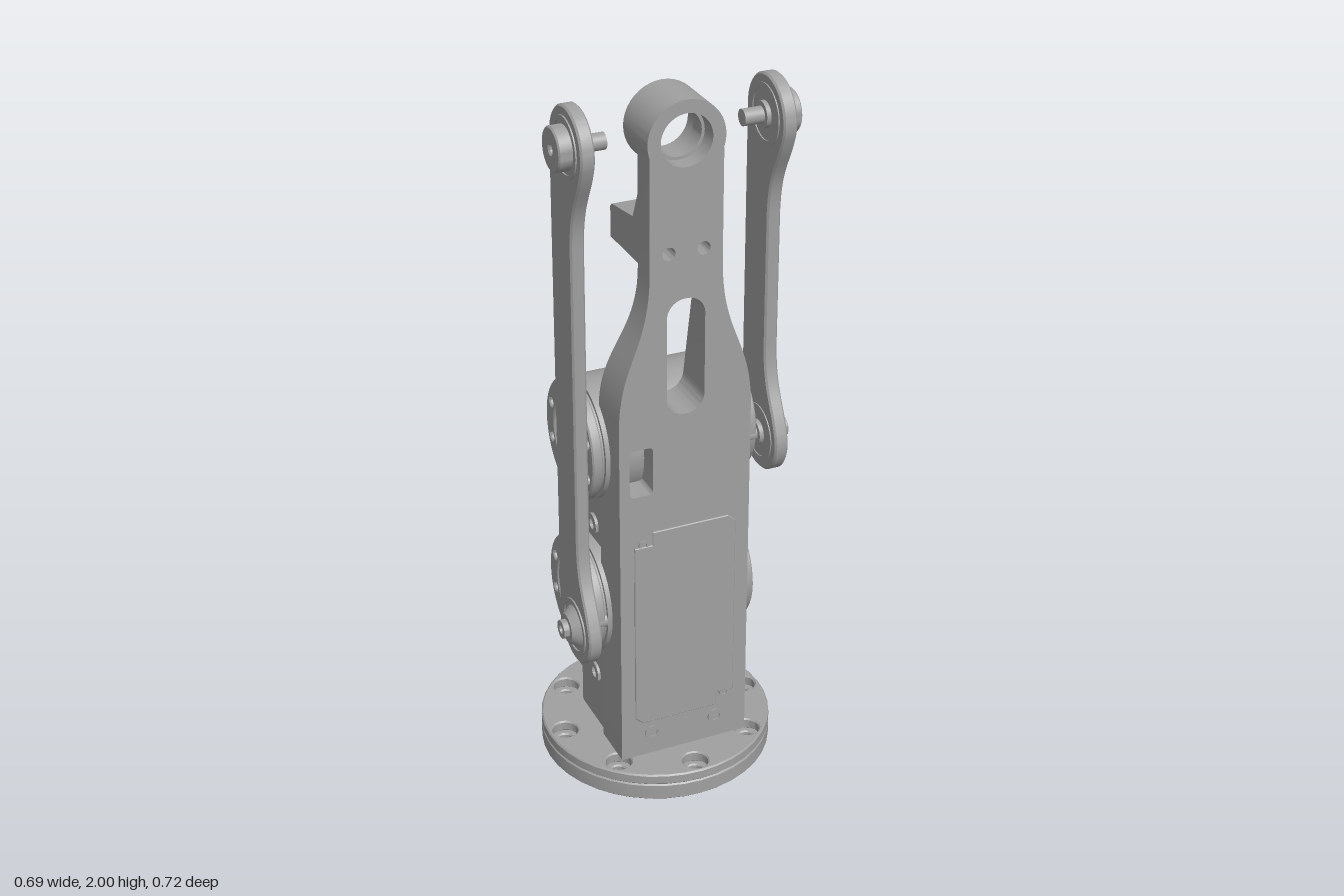
import * as THREE from 'three';
import { toCreasedNormals } from 'three/addons/utils/BufferGeometryUtils.js';

const grey = new THREE.MeshStandardMaterial({ color: 0xa0a0a0 });
grey.name = 'satin grey';

export function createModel() {
  const model = new THREE.Group();
  model.name = 'legAssembly';
  // whole mechanism is turned on its base; inside, x is the motor axis and +z the front plate
  const leg = new THREE.Group();
  leg.name = 'leg';
  leg.position.set(-0.025, 0, 0.035);
  leg.rotation.y = 0.366;
  model.add(leg);

  const add = (name, geo, x = 0, y = 0, z = 0, parent = leg) => {
    const m = new THREE.Mesh(geo, grey);
    m.name = name;
    m.position.set(x, y, z);
    parent.add(m);
    return m;
  };
  const hole = (x, y, r) => new THREE.Path().absarc(x, y, r, 0, Math.PI * 2, true);
  const disc = (r, holes = []) => {
    const s = new THREE.Shape().absarc(0, 0, r, 0, Math.PI * 2);
    s.holes = holes;
    return s;
  };
  const rounded = (w, h, r, P = THREE.Shape, cx = 0, cy = 0) => {
    const p = new P(), x = w / 2 - r, y = h / 2 - r;
    p.absarc(cx + x, cy + y, r, 0, Math.PI / 2);
    p.absarc(cx - x, cy + y, r, Math.PI / 2, Math.PI);
    p.absarc(cx - x, cy - y, r, Math.PI, Math.PI * 1.5);
    p.absarc(cx + x, cy - y, r, Math.PI * 1.5, Math.PI * 2);
    p.closePath();
    return p;
  };
  // extrusion filling depth 0..d, bevel included and kept inside the outline
  const extrude = (shape, d, bevel = 0) => {
    const g = new THREE.ExtrudeGeometry(shape, {
      depth: d - 2 * bevel, curveSegments: 20, bevelEnabled: bevel > 0,
      bevelSize: bevel, bevelThickness: bevel, bevelOffset: -bevel, bevelSegments: 1,
    });
    g.translate(0, 0, bevel);
    return toCreasedNormals(g, 0.5);
  };
  // extrusion along x from x0 to x1; shape x points to the back
  const across = (name, shape, x0, x1, y, z, bevel = 0) =>
    add(name, extrude(shape, x1 - x0, bevel).rotateY(Math.PI / 2), x0, y, z);
  const box = (name, w, x0, y0, y1, z0, z1) =>
    add(name, new THREE.BoxGeometry(w, y1 - y0, z1 - z0), x0, (y0 + y1) / 2, (z0 + z1) / 2);
  const cylX = (name, r0, r1, x0, x1, y, z) =>
    add(name, new THREE.CylinderGeometry(r1, r0, x1 - x0, 40).rotateZ(-Math.PI / 2), (x0 + x1) / 2, y, z);

  // base flange: through holes below, counterbores above
  const ringHoles = (r) => Array.from({ length: 8 }, (_, i) =>
    hole(0.277 * Math.cos(i * Math.PI / 4), 0.277 * Math.sin(i * Math.PI / 4), r));
  [[0, 0.05, 0.022], [0.05, 0.032, 0.036]].forEach(([y, h, r], i) =>
    add(i ? 'flangeTop' : 'flangeBottom',
      extrude(disc(0.325, ringHoles(r)), h, 0.004).rotateX(-Math.PI / 2), 0, y, 0));

  // base column with two cap screws at the back
  box('baseColumn', 0.35, 0, 0.08, 0.24, -0.115, 0.1);
  for (const x of [-0.075, 0.075]) {
    add('columnWasher', extrude(disc(0.04, [hole(0, 0, 0.028)]), 0.008), x, 0.15, -0.122);
    add('columnScrew', extrude(disc(0.024, [hole(0, 0, 0.011)]), 0.012), x, 0.15, -0.126);
  }

  // front plate outline: wide body, tapered shoulders, round head
  const plate = new THREE.Shape();
  plate.moveTo(-0.187, 0.085);
  plate.lineTo(0.187, 0.085);
  plate.lineTo(0.187, 1.12);
  plate.bezierCurveTo(0.187, 1.32, 0.103, 1.34, 0.1, 1.55);
  plate.lineTo(0.1, 1.86);
  plate.absarc(0, 1.895, 0.105, -0.33, Math.PI + 0.33);
  plate.lineTo(-0.1, 1.55);
  plate.bezierCurveTo(-0.103, 1.34, -0.187, 1.32, -0.187, 1.12);
  plate.closePath();
  plate.holes = [
    hole(0, 1.895, 0.07),
    rounded(0.106, 0.33, 0.05, THREE.Path, 0, 1.305),
    rounded(0.066, 0.14, 0.012, THREE.Path, -0.125, 0.99),
    hole(-0.048, 1.6, 0.018), hole(0.048, 1.6, 0.018),
  ];
  const plateGeo = new THREE.ExtrudeGeometry(plate, { depth: 0.134, curveSegments: 20, bevelEnabled: false });
  // thin the neck from behind
  const p = plateGeo.attributes.position;
  for (let i = 0; i < p.count; i++) {
    if (p.getZ(i) < 0.01) p.setZ(i, 0.06 * THREE.MathUtils.smoothstep(p.getY(i), 1.15, 1.52));
  }
  plateGeo.computeVertexNormals();
  add('frontPlate', toCreasedNormals(plateGeo, 0.5), 0, 0, 0.066);

  // bearing head
  add('headTube', extrude(disc(0.105, [hole(0, 0, 0.07)]), 0.15, 0.004), 0, 1.895, 0.046);
  add('headStep', extrude(disc(0.073, [hole(0, 0, 0.062)]), 0.05), 0, 1.895, 0.1);

  // access panel with notched corners and screws
  const panel = new THREE.Shape([
    [-0.147, -0.285], [-0.125, -0.305], [0.095, -0.305], [0.095, -0.265], [0.147, -0.265],
    [0.147, 0.285], [0.125, 0.305], [-0.095, 0.305], [-0.095, 0.265], [-0.147, 0.265],
  ].map(([x, y]) => new THREE.Vector2(x, y)));
  add('accessPanel', extrude(panel, 0.006, 0.002), 0, 0.5, 0.199);
  for (const [x, y, r] of [[-0.12, 0.77, 0.014], [0.12, 0.23, 0.014], [-0.095, 0.155, 0.022], [0.095, 0.155, 0.022]])
    add('plateScrew', extrude(disc(r, [hole(0, 0, r * 0.6)]), 0.005), x, y, 0.199);

  // bracket behind the neck
  const bracket = new THREE.Shape([
    [-0.13, 1.77], [-0.13, 1.55], [0.06, 1.55], [0.06, 1.635], [0.05, 1.645], [-0.085, 1.665],
  ].map(([x, y]) => new THREE.Vector2(x, y)));
  across('neckBracket', bracket, -0.096, 0.096, 0, 0);
  for (const x of [-0.05, 0.05])
    add('bracketHoleRim', extrude(disc(0.022, [hole(0, 0, 0.015)]), 0.004), x, 1.595, -0.063);

  // two motors; hornSide is the driven end
  const MZ = -0.025;
  const circleHoles = (n, R, r) => Array.from({ length: n }, (_, i) =>
    hole(R * Math.cos((i + 0.5) * 2 * Math.PI / n), R * Math.sin((i + 0.5) * 2 * Math.PI / n), r));
  const motor = (y, hornSide) => {
    cylX('motorBody', 0.168, 0.168, -0.2, 0.2, y, MZ);
    cylX('motorCore', 0.158, 0.158, -0.222, 0.222, y, MZ);
    for (const s of [-1, 1]) {
      const span = (a, b) => (s > 0 ? [a, b] : [-b, -a]);
      across('motorCap', disc(0.166, [hole(0, 0, 0.11), ...circleHoles(8, 0.137, 0.013)]),
        ...span(0.206, 0.236), y, MZ, 0.004);
      if (s === hornSide)
        across('motorHorn', disc(0.103, [hole(0, 0, 0.042), ...circleHoles(8, 0.073, 0.014)]), ...span(0.21, 0.235), y, MZ);
      else
        cylX('motorCover', 0.1, 0.1, ...span(0.21, 0.231), y, MZ);
      // screws on the side of the mount
      for (const z of [0.022, -0.083])
        across('mountScrew', disc(0.03, [hole(0, 0, 0.015)]), ...span(0.18, 0.195), y - 0.245, z);
      across('mountPin', disc(0.011), ...span(0.18, 0.191), y - 0.24, -0.03);
    }
    // mount below the motor, with a raised back pad
    box('motorMount', 0.374, 0, y - 0.295, y - 0.09, -0.125, 0.08);
    add('mountPad', extrude(rounded(0.25, 0.07, 0.01), 0.008, 0.002), 0, y - 0.235, -0.131);
    // slot rims on the shell
    for (const angle of [0.73, -0.35]) {
      const rim = rounded(0.1, 0.06, 0.02);
      rim.holes = [rounded(0.086, 0.046, 0.014, THREE.Path)];
      const pivot = new THREE.Group();
      pivot.name = 'shellSlot';
      pivot.position.set(0.02, y, MZ);
      pivot.rotation.x = angle;
      leg.add(pivot);
      add('slotRim', extrude(rim, 0.006), 0, 0, -0.17, pivot);
    }
  };
  motor(0.515, -1);
  motor(1.0, 1);

  // ribbon of four wires out of the lower motor
  for (let i = 0; i < 4; i++)
    add('wire', new THREE.CylinderGeometry(0.007, 0.007, 0.21, 10).rotateX(Math.PI / 2), 0.113, 0.496 + i * 0.018, -0.275);

  // side links: round ends joined by a bar that runs flush with the back edge
  const link = (s, low) => {
    const R = 0.105, top = 1.895, z = 0.12;
    const span = (a, b) => (s > 0 ? [a, b] : [-b, -a]);
    const shape = new THREE.Shape();
    shape.moveTo(R, low);
    shape.lineTo(R, top);
    shape.absarc(0, top, R, 0, Math.PI * 1.12);
    shape.bezierCurveTo(-0.07, top - 0.12, -0.03, top - 0.14, -0.025, top - 0.26);
    shape.lineTo(-0.025, low + 0.26);
    shape.bezierCurveTo(-0.03, low + 0.14, -0.07, low + 0.12, R * Math.cos(Math.PI * 0.88), low + R * Math.sin(Math.PI * 0.88));
    shape.absarc(0, low, R, Math.PI * 0.88, Math.PI * 2);
    across('sideLink', shape, ...span(0.25, 0.288), 0, z, 0.005);
    for (const y of [top, low]) {
      across('bearingRing', disc(0.08, [hole(0, 0, 0.068)]), ...span(0.247, 0.292), y, z);
      cylX('linkPin', 0.022, 0.022, ...span(0.185, 0.3), y, z);
      cylX('innerCollar', 0.035, 0.035, ...span(0.238, 0.26), y, z);
    }
    across('pinHead', disc(0.058, [hole(0, 0, 0.012)]), ...span(0.285, 0.325), top, z, 0.004);
    const [a, b] = span(0.285, 0.312);
    cylX('lowerHub', s > 0 ? 0.062 : 0.04, s > 0 ? 0.04 : 0.062, a, b, low, z);
    across('lowerNut', disc(0.026, [hole(0, 0, 0.012)]), ...span(0.31, 0.328), low, z);
  };
  link(-1, 0.51);
  link(1, 0.99);

  return model;
}
